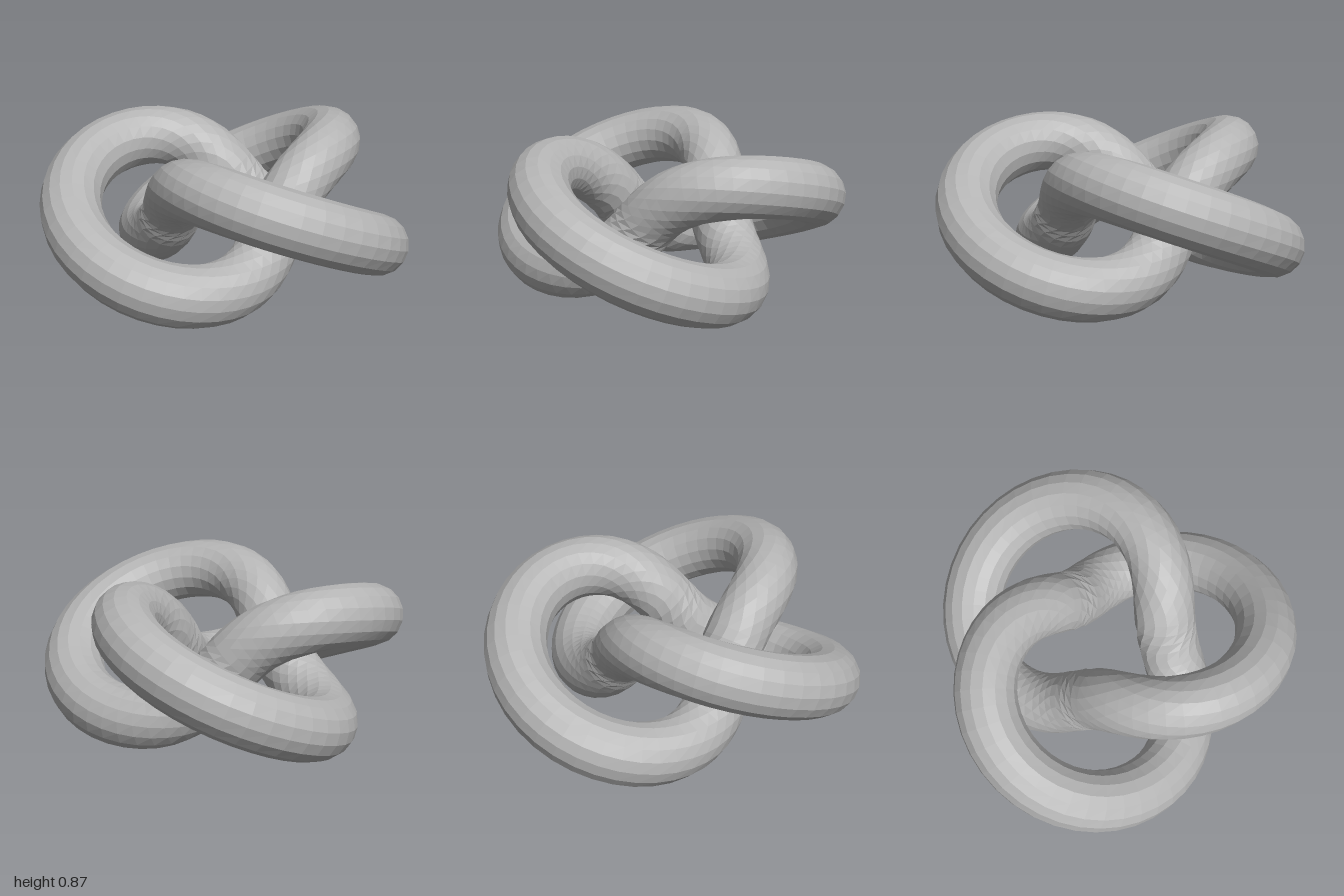
import * as THREE from 'three';

const RING = 0.61, WAVE = 0.272, TUBE = 0.167; // knot radius, winding radius, tube radius
const STEPS = 128, SIDES = 16;
const CENTRE = new THREE.Vector3(-0.09, WAVE + TUBE, 0);

// centre line: twice round the axis with three lobes
function knotPoint(u) {
  const r = RING + WAVE * Math.cos(1.5 * u);
  return new THREE.Vector3(r * Math.cos(u), WAVE * Math.sin(1.5 * u), r * Math.sin(u)).add(CENTRE);
}

// tube whose rings follow the bending direction, so the inner strands twist
function knotGeometry() {
  const positions = [], index = [], h = 0.001;
  for (let i = 0; i < STEPS; i++) {
    const u = (i / STEPS) * Math.PI * 4;
    const p = knotPoint(u), before = knotPoint(u - h), after = knotPoint(u + h);
    const tangent = after.clone().sub(before).normalize();
    const bend = after.add(before).addScaledVector(p, -2);
    const normal = bend.addScaledVector(tangent, -bend.dot(tangent)).normalize();
    const binormal = tangent.clone().cross(normal);
    for (let j = 0; j < SIDES; j++) {
      const a = (j / SIDES) * Math.PI * 2;
      const v = p.clone()
        .addScaledVector(normal, TUBE * Math.cos(a))
        .addScaledVector(binormal, TUBE * Math.sin(a));
      positions.push(v.x, v.y, v.z);

      const i2 = (i + 1) % STEPS, j2 = (j + 1) % SIDES;
      const A = i * SIDES + j, B = i * SIDES + j2, C = i2 * SIDES + j2, D = i2 * SIDES + j;
      index.push(A, B, D, B, C, D);
    }
  }
  const geometry = new THREE.BufferGeometry();
  geometry.setAttribute('position', new THREE.Float32BufferAttribute(positions, 3));
  geometry.setIndex(index);
  const faceted = geometry.toNonIndexed();
  faceted.computeVertexNormals();
  return faceted;
}

export function createModel() {
  const grey = new THREE.MeshStandardMaterial({ color: 0xb4b4b4 });
  grey.name = 'grey';
  grey.flatShading = true;

  const knot = new THREE.Mesh(knotGeometry(), grey);
  knot.name = 'knottedTube';

  const group = new THREE.Group();
  group.name = 'trefoilKnot';
  group.add(knot);
  return group;
}
